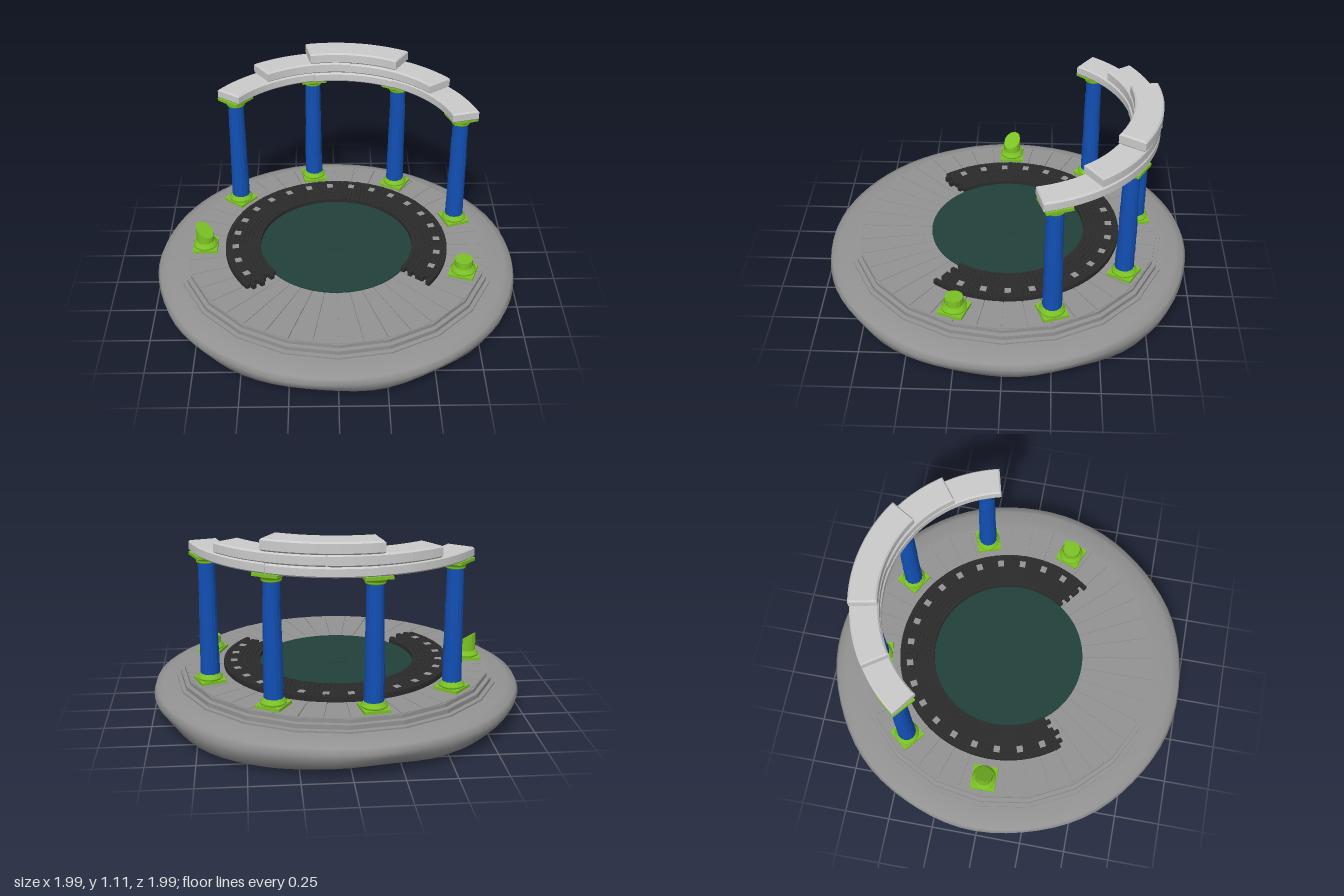
import * as THREE from 'three';
import { mergeGeometries, mergeVertices } from 'three/addons/utils/BufferGeometryUtils.js';

const D = Math.PI / 180;
const mat = (color, flatShading = true) =>
  new THREE.MeshStandardMaterial({ color, flatShading, side: THREE.DoubleSide });

const pale = mat(0xcccccc), stone = mat(0x939393), rock = mat(0x939393, false);
const black = mat(0x2b2b2b), teal = mat(0x22403a), blue = mat(0x1250b5);
const green = mat(0x7cc225), greenSmooth = mat(0x7cc225, false);

let seed = 7;
const rand = () => (seed = (seed * 16807) % 2147483647) / 2147483647;

function add(parent, name, geometry, material) {
  const mesh = new THREE.Mesh(geometry, material);
  mesh.name = name;
  parent.add(mesh);
  return mesh;
}

// Curved block between two radii and two angles (degrees, from +x towards +z)
function arcBlock(r0, r1, a0, a1, y0, y1, bevel = 0, segments = 10) {
  const s = new THREE.Shape();
  const da = bevel / r1 / D;
  s.absarc(0, 0, r1 - bevel, (a0 + da) * D, (a1 - da) * D, false);
  s.absarc(0, 0, r0 + bevel, (a1 - da) * D, (a0 + da) * D, true);
  s.closePath();
  const g = new THREE.ExtrudeGeometry(s, {
    depth: y1 - y0 - 2 * bevel, curveSegments: segments, bevelEnabled: bevel > 0,
    bevelSize: bevel, bevelThickness: bevel, bevelSegments: 1,
  });
  return g.rotateX(Math.PI / 2).translate(0, y1 - bevel, 0);
}

const lathe = (points, sides) =>
  new THREE.LatheGeometry(points.map(p => new THREE.Vector2(...p)), sides);

// Weathered rim: a lathe shell pushed about by slow waves, sagging at the back right
function rimGeometry() {
  let g = lathe([[0.88, 0.05], [0.93, 0.042], [0.965, 0.065], [0.99, 0.105], [1, 0.14],
    [0.985, 0.172], [0.94, 0.192], [0.86, 0.2]], 72);
  g.deleteAttribute('uv');
  g.deleteAttribute('normal');
  g = mergeVertices(g, 1e-4);
  const p = g.attributes.position;
  for (let i = 0; i < p.count; i++) {
    const x = p.getX(i), y = p.getY(i), z = p.getZ(i), a = Math.atan2(z, x);
    const low = THREE.MathUtils.clamp((0.2 - y) / 0.15, 0, 1);
    const sag = Math.exp(-(((a + 52 * D) / 0.33) ** 2)) * low;
    const wave = Math.sin(a * 7 + 1) * 0.5 + Math.sin(a * 13) * 0.3 + Math.sin(a * 4 + 2) * 0.4;
    const k = 1 - 0.008 * (1 - Math.sin(a * 9 + y * 30)) * low
      - (y < 0.06 ? 0.09 * sag * (Math.hypot(x, z) < 0.9 ? 1 : 0.2) : 0);
    p.setXYZ(i, x * k, y + wave * 0.006 * low - sag * 0.036, z * k);
  }
  g.computeVertexNormals();
  return g;
}

// Square plinth and rounded moulding under each column
function columnBase(parent) {
  add(parent, 'plinth', new THREE.BoxGeometry(0.135, 0.018, 0.135).translate(0, 0.265, 0), green);
  add(parent, 'baseMoulding', lathe([[0.06, 0.272], [0.067, 0.278], [0.067, 0.286],
    [0.058, 0.292], [0.056, 0.3], [0.05, 0.306], [0, 0.306]], 20), greenSmooth);
}

function column(parent) {
  columnBase(parent);
  // Stacked drums, tapering upwards
  const y0 = 0.3, y1 = 0.91, n = 6, h = (y1 - y0) / n;
  const radius = t => 0.051 - 0.008 * t;
  for (let i = 0; i < n; i++) {
    const drum = add(parent, 'drum', new THREE.CylinderGeometry(
      radius((i + 1) / n), radius(i / n), h, 14), blue);
    drum.position.set((rand() - 0.5) * 0.003, y0 + h * (i + 0.5), (rand() - 0.5) * 0.003);
    drum.rotation.y = rand() * 0.15;
  }
  add(parent, 'capital', lathe([[0, 0.902], [0.05, 0.902], [0.052, 0.91], [0.047, 0.914],
    [0.06, 0.924], [0.066, 0.934], [0, 0.936]], 20), greenSmooth);
  add(parent, 'abacus', new THREE.BoxGeometry(0.14, 0.016, 0.14).translate(0, 0.94, 0), green);
}

// Broken column: the top ring follows a sloping cut
function stump(parent, height, slopeX, slopeZ) {
  columnBase(parent);
  const g = new THREE.CylinderGeometry(0.048, 0.05, height - 0.3, 14).translate(0, (height + 0.3) / 2, 0);
  const p = g.attributes.position;
  for (let i = 0; i < p.count; i++) {
    if (p.getY(i) > height - 0.01) {
      p.setY(i, height + slopeX * p.getX(i) + slopeZ * p.getZ(i));
    }
  }
  add(parent, 'brokenShaft', g, green);
}

export function createModel() {
  const root = new THREE.Group();
  root.name = 'ruinedColonnade';

  add(root, 'rockRim', rimGeometry(), rock);

  // Three shallow steps, 20-sided, with the floor below the paving
  add(root, 'steps', lathe([[0.872, 0.17], [0.872, 0.208], [0.85, 0.21], [0.85, 0.233],
    [0.828, 0.235], [0.828, 0.255], [0.812, 0.255], [0.812, 0.25], [0.42, 0.25]], 20), stone);

  // Radial paving slabs, reaching the centre where the cobbled ring is open
  const slabs = [];
  for (let a = 0; a < 360; a += 9) {
    const inner = a >= 27 && a < 144 ? 0.42 : 0.6;
    slabs.push(arcBlock(inner, 0.816, a + 0.15, a + 8.85, 0.249, 0.258, 0, 2));
  }
  add(root, 'pavingSlabs', mergeGeometries(slabs), stone);

  // Central floor disc with a raised boss
  add(root, 'centreDisc', new THREE.CylinderGeometry(0.422, 0.422, 0.014, 64).translate(0, 0.257, 0), teal);
  add(root, 'centreBoss', new THREE.CylinderGeometry(0.06, 0.06, 0.004, 24).translate(0, 0.265, 0), teal);

  // Cobbled ring: rows of small setts on a curved bed, with ragged ends
  const ring = new THREE.Group();
  ring.name = 'cobbledRing';
  root.add(ring);
  add(ring, 'cobbleBed', arcBlock(0.42, 0.615, 143, 392, 0.243, 0.279, 0, 80), black);
  const setts = [], rows = 8, depth = 0.195 / rows;
  const ragged = [1, -1, 2, 0, -2, 1, -1, 1];
  for (let r = 0; r < rows; r++) {
    const radius = 0.42 + depth * (r + 0.5);
    const start = 140 + ragged[r] * 1.2, end = 395 + ragged[(r + 3) % rows] * 1.2;
    const count = Math.round((end - start) * D * radius / 0.026), step = (end - start) / count;
    for (let i = 0; i < count; i++) {
      const a = (start + step * (i + 0.5)) * D;
      setts.push(new THREE.BoxGeometry(depth - 0.002, 0.028, step * D * radius - 0.002)
        .rotateY(-a).translate(Math.cos(a) * radius, 0.27 + rand() * 0.002, Math.sin(a) * radius));
    }
  }
  add(ring, 'setts', mergeGeometries(setts), black);

  // Pale square inlays around the ring
  const inlays = [];
  for (let i = 0; i < 19; i++) {
    const a = (150 + i * 13) * D;
    inlays.push(new THREE.BoxGeometry(0.036, 0.02, 0.034).rotateY(-a)
      .translate(Math.cos(a) * 0.56, 0.2765, Math.sin(a) * 0.56));
  }
  add(ring, 'inlays', mergeGeometries(inlays), stone);

  // Four standing columns and two stumps, 40 degrees apart
  const place = (name, angle, build, turn = -angle) => {
    const g = new THREE.Group();
    g.name = name;
    g.position.set(Math.cos(angle * D) * 0.727, 0, Math.sin(angle * D) * 0.727);
    g.rotation.y = turn * D;
    build(g);
    root.add(g);
  };
  for (const a of [220, 260, 300, 340]) place('column', a, column);
  place('rightStump', 180, g => stump(g, 0.37, -0.6, -0.35), 0);
  place('leftStump', 20, g => stump(g, 0.345, 0.03, 0));

  // Entablature: three stacked courses of curved blocks [start, end, bottom, top]
  const blocks = [
    [215, 260, 0.948, 1.002], [260, 300, 0.946, 0.999], [300, 346, 0.948, 1.003],
    [235, 278, 1.0, 1.06], [278, 323.5, 1.0, 1.057],
    [258, 301.5, 1.058, 1.12],
  ];
  for (const [a0, a1, y0, y1] of blocks) {
    const j = (rand() - 0.5) * 0.008;
    add(root, 'entablatureBlock', arcBlock(0.648 + j, 0.797 + j, a0, a1, y0, y1, 0.008), pale);
  }
  return root;
}
